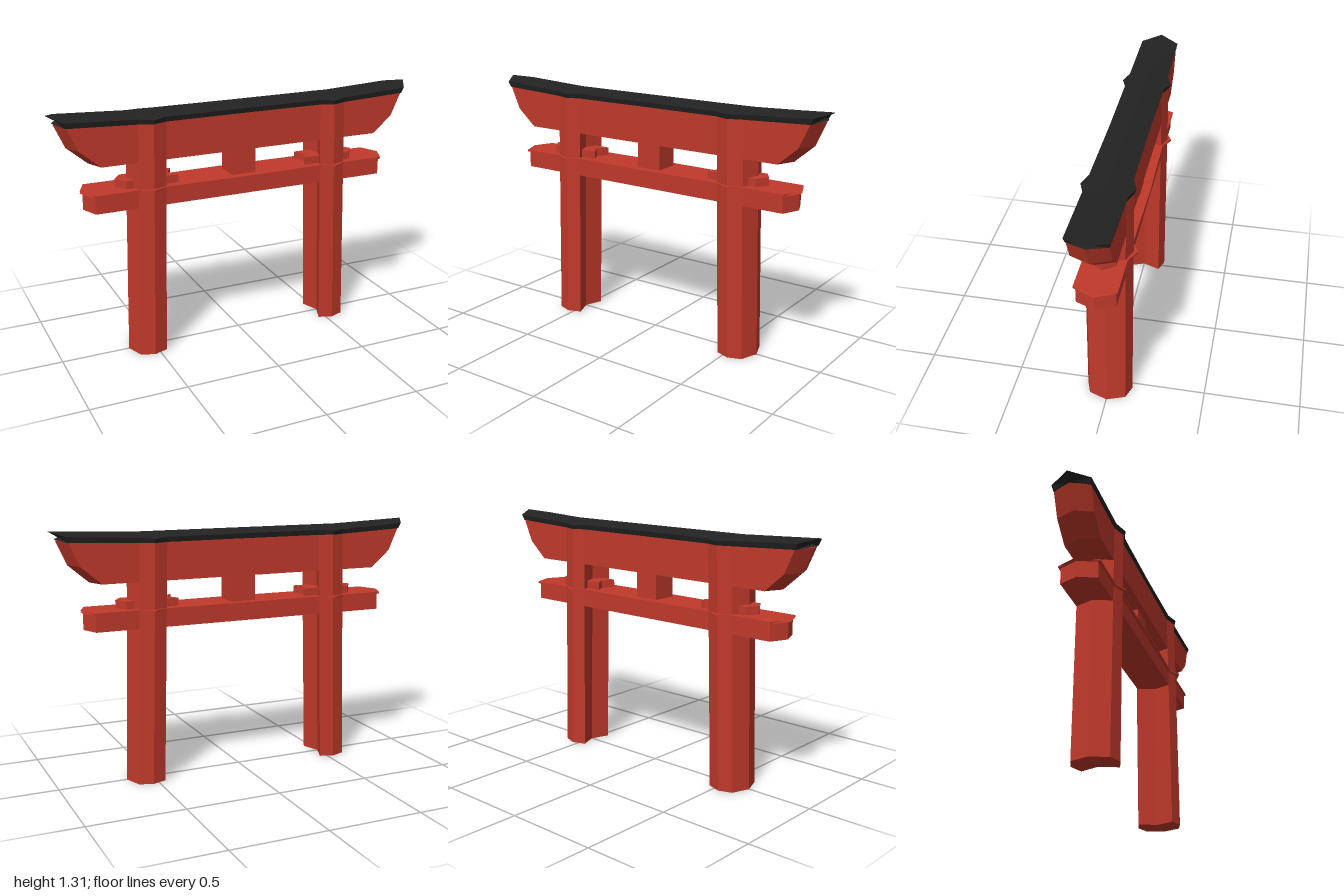
import * as THREE from 'three';

const red = new THREE.MeshStandardMaterial({ color: 0xc0392b, flatShading: true });
const black = new THREE.MeshStandardMaterial({ color: 0x222222, flatShading: true });

// Closed solid through a series of equal-length rings of [x, y, z], capped by fans
function loft(rings) {
  const n = rings[0].length, tris = [];
  for (let r = 0; r < rings.length - 1; r++) {
    for (let i = 0; i < n; i++) {
      const j = (i + 1) % n, a = rings[r], b = rings[r + 1];
      tris.push([a[i], a[j], b[j]], [a[i], b[j], b[i]]);
    }
  }
  const cap = (ring, flip) => {
    const c = [0, 1, 2].map(k => ring.reduce((s, p) => s + p[k], 0) / n);
    ring.forEach((p, i) => {
      const q = ring[(i + 1) % n];
      tris.push(flip ? [c, q, p] : [c, p, q]);
    });
  };
  cap(rings[0], true);
  cap(rings[rings.length - 1], false);

  // Turn the faces outward if the enclosed volume comes out negative
  let volume = 0;
  for (const [a, b, c] of tris) {
    volume += a[0] * (b[1] * c[2] - b[2] * c[1])
      + a[1] * (b[2] * c[0] - b[0] * c[2])
      + a[2] * (b[0] * c[1] - b[1] * c[0]);
  }
  if (volume < 0) tris.forEach(t => t.reverse());
  const geo = new THREE.BufferGeometry();
  geo.setAttribute('position', new THREE.Float32BufferAttribute(tris.flat(2), 3));
  geo.computeVertexNormals();
  return geo;
}

// Stack of footprints along y: each level is [y, loop of [x, z]]
const stack = levels => loft(levels.map(([y, loop]) => loop.map(([x, z]) => [x, y, z])));

// Long bar through mirrored stations; the middle line may reach further out than the edges
function bar(half) {
  const ring = (s, o) => [
    [s * o.mid, o.ridge, 0], [s * o.x, o.edge, o.z],
    [s * o.xLow, o.low, o.zLow], [s * o.midLow, o.midY, 0],
    [s * o.xLow, o.low, -o.zLow], [s * o.x, o.edge, -o.z],
  ];
  const left = half.slice().reverse().map(o => ring(-1, o));
  return loft([...left, ...half.filter(o => o.x > 0).map(o => ring(1, o))]);
}

// Six-sided footprint with pointed ends
const pointed = (x, tip, z) => [[-x, z], [x, z], [tip, 0], [x, -z], [-x, -z], [-tip, 0]];

export function createModel() {
  const gate = new THREE.Group();
  gate.name = 'gate';
  const add = (name, geo, mat = red) => {
    const mesh = new THREE.Mesh(geo, mat);
    mesh.name = name;
    gate.add(mesh);
    return mesh;
  };

  // Leaning pillars, ridged outside and grooved inside, and the blocks around them
  for (const s of [1, -1]) {
    const side = s > 0 ? 'left' : 'right';
    const section = c => [
      [c - 0.072, 0.095], [c, 0.12], [c + 0.072, 0.095], [c + 0.107, 0],
      [c + 0.072, -0.095], [c, -0.12], [c - 0.072, -0.095], [c - 0.035, 0],
    ].map(([x, z]) => [s * x, z]);
    add(side + 'Pillar', stack([[0, section(0.533)], [1.252, section(0.5)]]));

    const block = [[0.36, 0.06], [0.635, 0.06], [0.675, 0], [0.635, -0.06], [0.36, -0.06], [0.395, 0]]
      .map(([x, z]) => [s * x, z]);
    add(side + 'Block', stack([[0.9, block], [0.953, block]]));
  }

  // Tie beam with a thin ledge that juts out around the pillars
  const tie = pointed(0.803, 0.842, 0.095);
  add('tieBeam', stack([[0.815, tie], [0.905, tie]]));
  const ledge = [[0, 0.112], [0.44, 0.105], [0.51, 0.14], [0.58, 0.105], [0.81, 0.105]];
  add('tieBeamLedge', bar(ledge.map(([x, z]) => {
    const mid = x === 0.81 ? 0.855 : x;
    return { x, z, xLow: x, zLow: z, mid, midLow: mid, ridge: 0.912, edge: 0.912, low: 0.902, midY: 0.902 };
  })));

  // Centre strut
  const strut = add('centreStrut', new THREE.BoxGeometry(0.135, 0.16, 0.13));
  strut.position.set(0.002, 0.98, 0);

  // Upper beam, flaring towards the roof
  add('upperBeam', stack([
    [1.05, pointed(0.765, 0.805, 0.095)],
    [1.14, pointed(0.87, 0.91, 0.095)],
    [1.262, pointed(0.925, 0.965, 0.095)],
  ]));

  // Roof with upturned ends and eaves that widen over the pillars
  const eaves = [[0, 0.102], [0.43, 0.105], [0.5, 0.13], [0.57, 0.105]];
  const roof = eaves.map(([x, z]) => ({
    x, z, xLow: x, zLow: z - 0.007, mid: x, midLow: x,
    ridge: 1.29, edge: z > 0.12 ? 1.263 : 1.268, low: 1.242, midY: 1.25,
  }));
  roof.push({
    x: 0.94, z: 0.102, xLow: 0.928, zLow: 0.096, mid: 1, midLow: 0.972,
    ridge: 1.307, edge: 1.287, low: 1.258, midY: 1.268,
  });
  add('roof', bar(roof), black);

  return gate;
}
